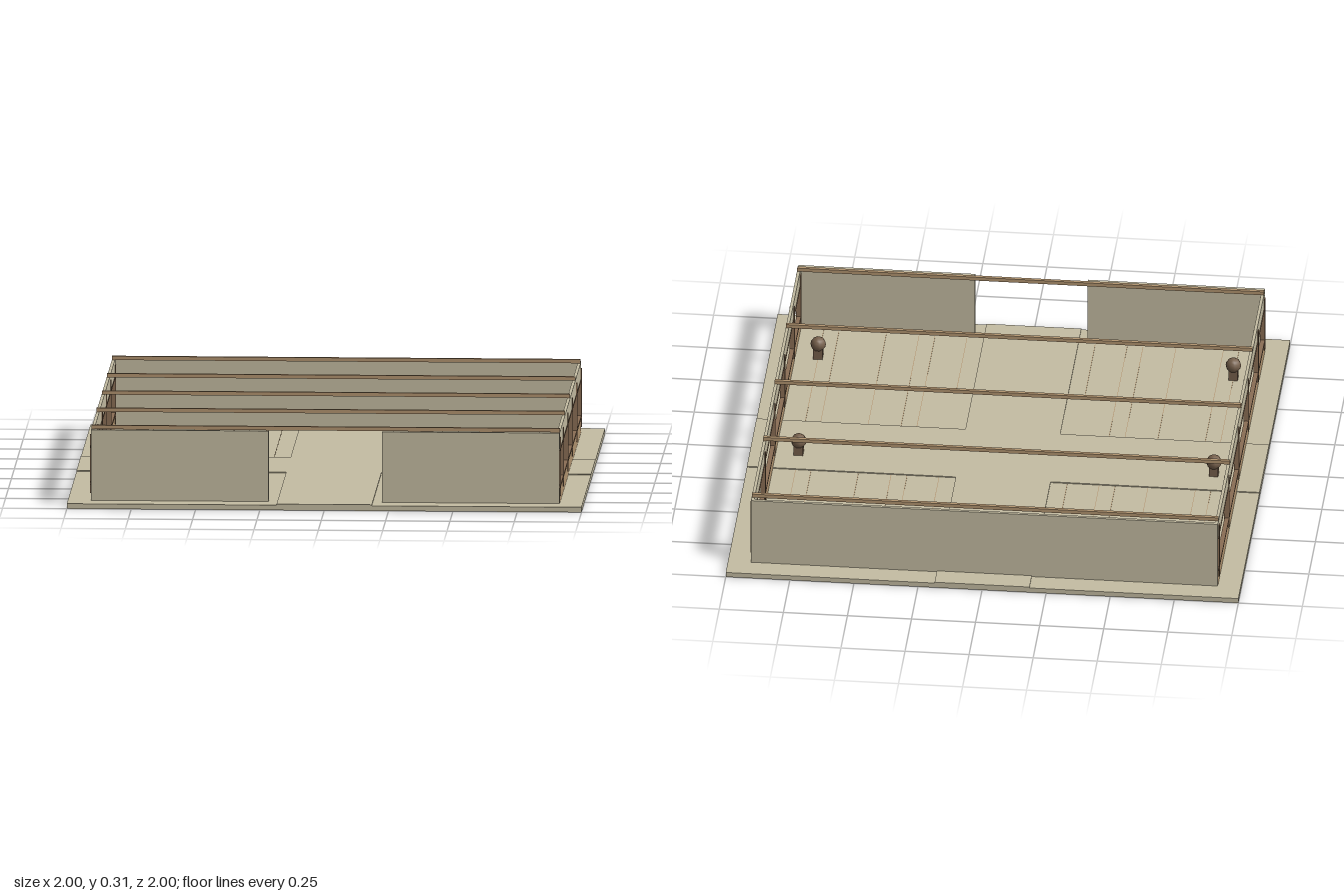
import * as THREE from 'three';

export function createModel() {
  const model = new THREE.Group();
  const mat = (name, color) => {
    const m = new THREE.MeshStandardMaterial({ color });
    m.name = name;
    return m;
  };
  const plaster = mat('plaster', 0xc4bca2);
  const wood = mat('wood', 0xb29470);
  const darkWood = mat('dark wood', 0x8a6e55);
  const lampBrown = mat('lamp brown', 0x755f4b);

  // Box given by its ranges along each axis
  const box = (name, material, [x0, x1], [y0, y1], [z0, z1], parent = model) => {
    const mesh = new THREE.Mesh(new THREE.BoxGeometry(x1 - x0, y1 - y0, z1 - z0), material);
    mesh.name = name;
    mesh.position.set((x0 + x1) / 2, (y0 + y1) / 2, (z0 + z1) / 2);
    parent.add(mesh);
    return mesh;
  };

  // Ground slab with a slightly raised cross of paths
  box('floorSlab', plaster, [-1, 1], [0, 0.02], [-1, 1]);
  box('pathAcross', plaster, [-1, 1], [0.02, 0.024], [-0.185, 0.185]);
  for (const s of [-1, 1]) {
    const [a, b] = s < 0 ? [-1, -0.185] : [0.185, 1];
    box('pathAlong', plaster, [-0.185, 0.185], [0.02, 0.024], [a, b]);
  }

  // Fine wooden joints in the floor
  for (const sx of [-1, 1]) {
    for (const x of [0.25, 0.375, 0.437, 0.565, 0.75, 0.81]) {
      const front = x === 0.25 ? 0.5 : 0.19;
      box('floorJoint', wood, [sx * x - 0.001, sx * x + 0.001], [0.02, 0.021], [-0.89, -0.19]);
      box('floorJoint', wood, [sx * x - 0.001, sx * x + 0.001], [0.02, 0.021], [front, 0.89]);
    }
  }

  // Back wall and the two front walls beside the entrance
  box('backWall', plaster, [-0.91, 0.91], [0.02, 0.297], [-0.912, -0.9]);
  box('frontWallRight', plaster, [-0.91, -0.22], [0.02, 0.297], [0.9, 0.912]);
  box('frontWallLeft', plaster, [0.22, 0.91], [0.02, 0.297], [0.9, 0.912]);

  // Open sides: low panel, top band, rails and posts
  for (const s of [-1, 1]) {
    const side = new THREE.Group();
    side.name = s > 0 ? 'leftSide' : 'rightSide';
    model.add(side);
    const xr = (h) => [s * 0.905 - h, s * 0.905 + h];
    const length = [-0.9, 0.9];
    box('lowerPanel', wood, xr(0.006), [0.02, 0.082], length, side);
    box('upperBand', plaster, xr(0.006), [0.23, 0.295], length, side);
    box('lowerRail', darkWood, xr(0.009), [0.08, 0.09], length, side);
    box('upperRail', darkWood, xr(0.008), [0.224, 0.232], length, side);
    for (const z of [-0.875, -0.5, -0.123, 0.25, 0.627, 0.877]) {
      box('post', darkWood, xr(0.01), [0.045, 0.275], [z - 0.007, z + 0.007], side);
    }
  }

  // Beams spanning the width
  for (const z of [-0.877, -0.438, 0, 0.435, 0.872]) {
    box('crossBeam', wood, [-0.91, 0.91], [0.295, 0.31], [z - 0.007, z + 0.007]);
  }

  // Low lamps: ball on a short block
  const ball = new THREE.SphereGeometry(0.03, 10, 8);
  for (const x of [-0.81, 0.81]) {
    for (const z of [-0.065, 0.685]) {
      const lamp = new THREE.Group();
      lamp.name = 'lamp';
      lamp.position.set(x, 0, z);
      model.add(lamp);
      box('lampBase', lampBrown, [-0.018, 0.018], [0.02, 0.065], [-0.018, 0.018], lamp);
      const globe = new THREE.Mesh(ball, lampBrown);
      globe.name = 'lampBall';
      globe.position.y = 0.08;
      lamp.add(globe);
    }
  }
  return model;
}
